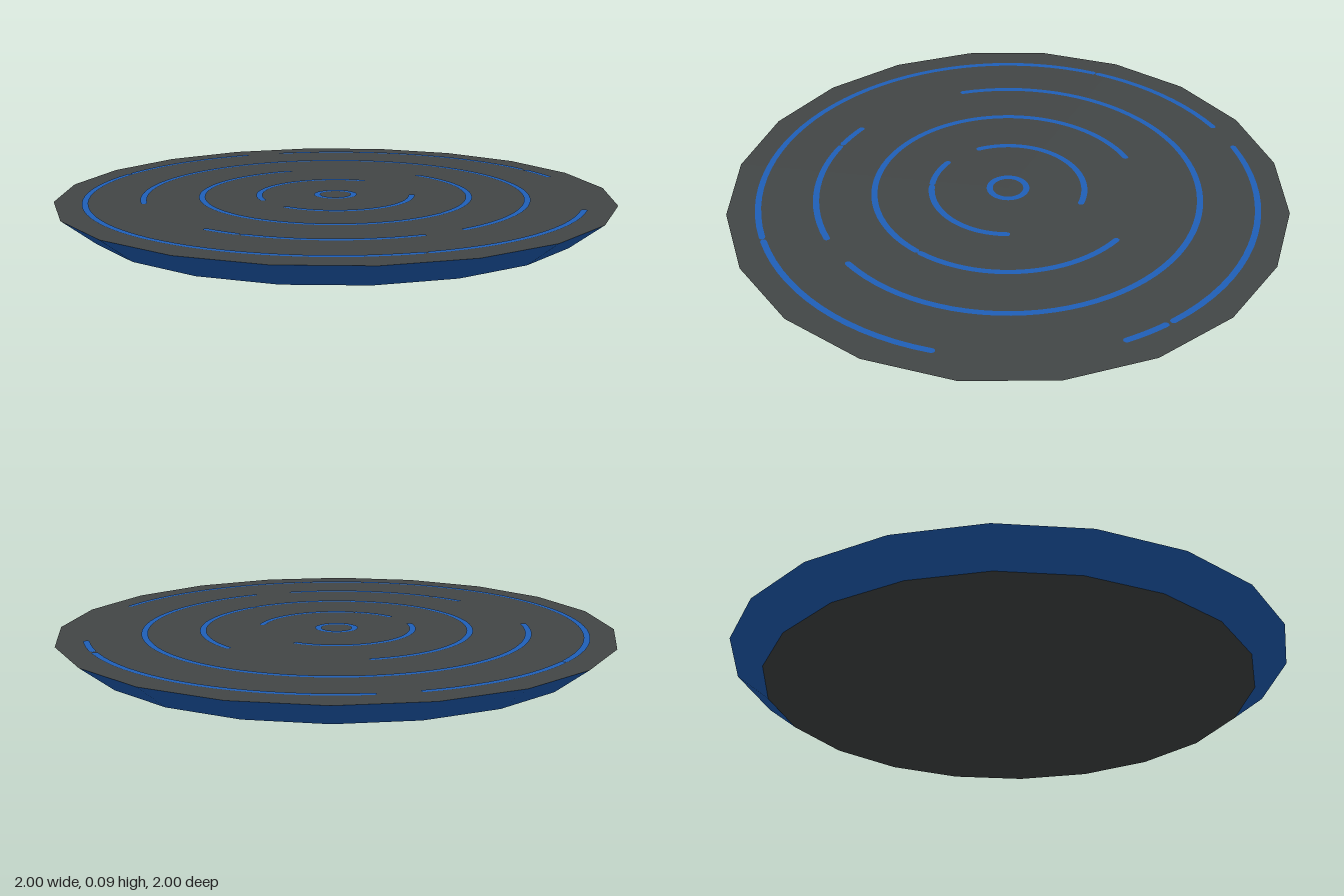
import * as THREE from 'three';
import { mergeGeometries } from 'three/addons/utils/BufferGeometryUtils.js';

export function createModel() {
  const group = new THREE.Group();
  const blue = new THREE.MeshStandardMaterial({ color: 0x1f5fb8 });
  blue.name = 'blue';
  const grey = new THREE.MeshStandardMaterial({ color: 0x424646 });
  grey.name = 'dark grey';

  const height = 0.092, lineWidth = 0.022;

  // Twenty-sided dish: blue sloping rim, grey faces above and below
  const platform = new THREE.Mesh(
    new THREE.CylinderGeometry(1, 0.88, height, 20),
    [blue, grey, grey]
  );
  platform.name = 'platform';
  platform.position.y = height / 2;
  group.add(platform);

  // Flat inlaid arc with rounded ends; angles in degrees, from +x towards -z
  function arc(radius, from, to) {
    const a = THREE.MathUtils.degToRad(from), b = THREE.MathUtils.degToRad(to);
    const segments = Math.max(6, Math.ceil((to - from) / 4));
    const parts = [new THREE.RingGeometry(
      radius - lineWidth / 2, radius + lineWidth / 2, segments, 1, a, b - a)];
    if (to - from < 360) {
      parts.push(
        new THREE.CircleGeometry(lineWidth / 2, 6, a + Math.PI, Math.PI)
          .translate(radius * Math.cos(a), radius * Math.sin(a), 0),
        new THREE.CircleGeometry(lineWidth / 2, 6, b, Math.PI)
          .translate(radius * Math.cos(b), radius * Math.sin(b), 0));
    }
    return mergeGeometries(parts).rotateX(-Math.PI / 2);
  }

  // Concentric broken rings: radius, then [start, end] of each arc
  const rings = [
    ['centreRing', 0.066, [0, 360]],
    ['innerRing', 0.275, [79, 212], [243, 273], [277, 368]],
    ['middleRing', 0.48, [123, 328.5], [331, 419]],
    ['wideRing', 0.687, [-42, 204], [244, 254], [256, 304.5]],
    ['outerRing', 0.89, [33, 42.5], [44.5, 116], [126, 164], [165.5, 298], [299.5, 353.5]],
  ];
  for (const [name, radius, ...arcs] of rings) {
    const ring = new THREE.Mesh(
      mergeGeometries(arcs.map(([from, to]) => arc(radius, from, to))), blue);
    ring.name = name;
    ring.position.y = height + 0.002;
    group.add(ring);
  }
  return group;
}
